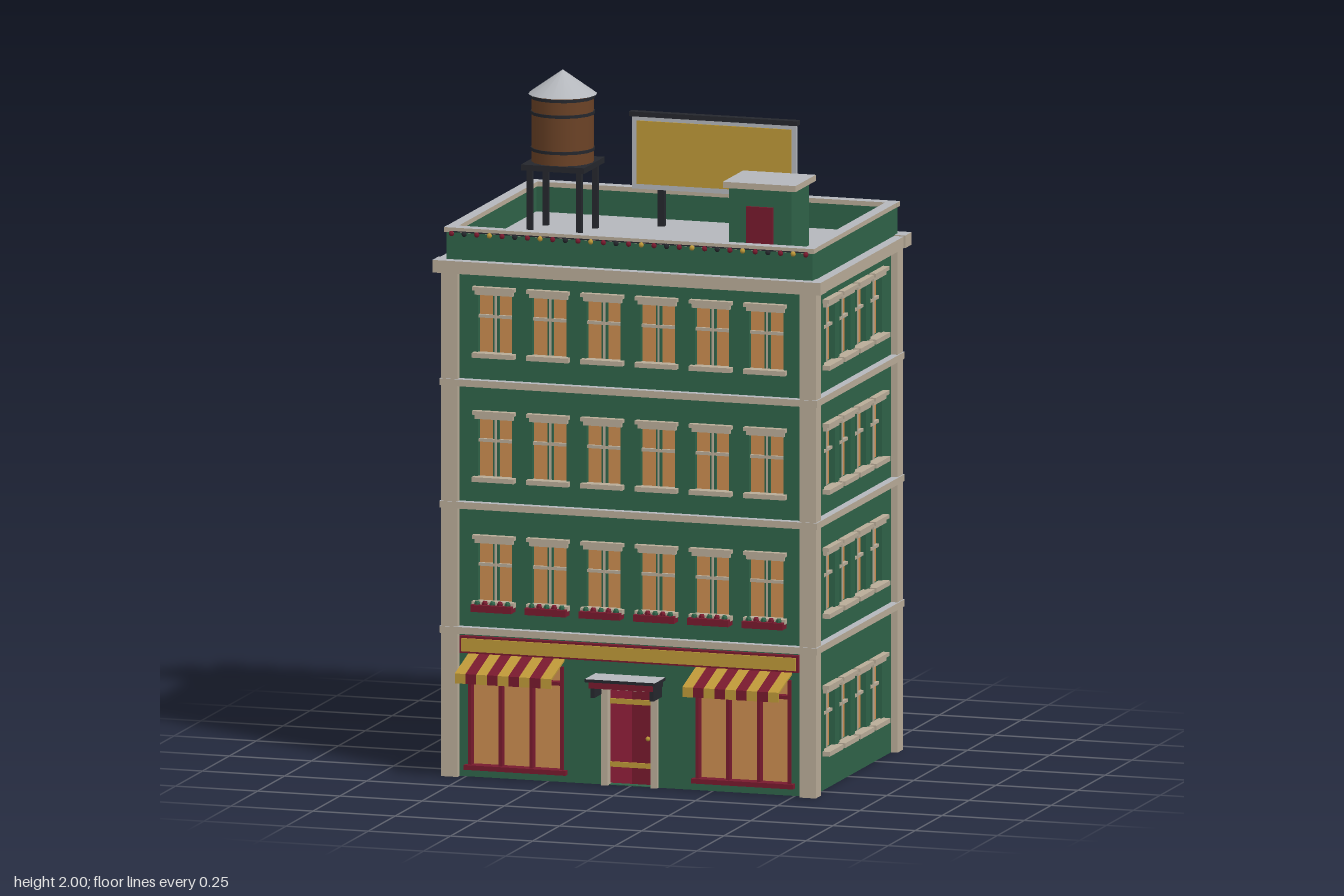
import * as THREE from 'three';

const mat = (name, color) => {
  const m = new THREE.MeshStandardMaterial({ color });
  m.name = name;
  return m;
};

export function createModel() {
  const green = mat('wall green', 0x2f6349);
  const cream = mat('stone cream', 0xb9ac98);
  const grey = mat('roof grey', 0xb4b7bc);
  const glass = mat('warm glass', 0xcb8d50);
  const red = mat('trim red', 0x781a2e);
  const crimson = mat('door crimson', 0x921f3a);
  const gold = mat('sign gold', 0xbd9838);
  const black = mat('iron black', 0x25272d);
  const brown = mat('barrel brown', 0x6b4226);

  const model = new THREE.Group();
  model.name = 'building';
  const group = (name, parent = model) => {
    const g = new THREE.Group();
    g.name = name;
    parent.add(g);
    return g;
  };
  const mesh = (parent, name, geo, m) => {
    const o = new THREE.Mesh(geo, m);
    o.name = name;
    parent.add(o);
    return o;
  };
  // Box given by its limits on each axis
  const box = (parent, name, m, x0, x1, y0, y1, z0, z1) => {
    const o = mesh(parent, name, new THREE.BoxGeometry(x1 - x0, y1 - y0, z1 - z0), m);
    o.position.set((x0 + x1) / 2, (y0 + y1) / 2, (z0 + z1) / 2);
    return o;
  };
  const capped = [cream, cream, grey, cream, cream, cream];

  const HX = 0.55, HZ = 0.385, ZC = -0.045, WALL_TOP = 1.5, T = 0.03;
  const floors = [0.203, 0.608, 0.973, 1.338];

  // Wall with real openings, outer face on z = 0
  function wall(parent, half, holes) {
    const s = new THREE.Shape([[-half, 0], [half, 0], [half, WALL_TOP], [-half, WALL_TOP]]
      .map(p => new THREE.Vector2(...p)));
    for (const [x0, x1, y0, y1] of holes) {
      s.holes.push(new THREE.Path([[x0, y0], [x0, y1], [x1, y1], [x1, y0]]
        .map(p => new THREE.Vector2(...p))));
    }
    const o = mesh(parent, 'wall', new THREE.ExtrudeGeometry(s, { depth: T, bevelEnabled: false }), green);
    o.position.z = -T;
  }

  // Sash window with stepped lintel, sill and crossed bars
  function sashWindow(parent, x, y) {
    const g = group('window', parent);
    g.position.set(x, y, 0);
    box(g, 'pane', glass, -0.052, 0.052, -0.09, 0.086, -0.026, -0.018);
    box(g, 'mullion', green, -0.009, 0.009, -0.09, 0.086, -0.018, -0.01);
    box(g, 'mullionBead', cream, -0.003, 0.003, -0.09, 0.086, -0.01, -0.007);
    box(g, 'crossBar', cream, -0.052, 0.052, 0.012, 0.021, -0.018, -0.008);
    box(g, 'lintel', cream, -0.058, 0.058, 0.082, 0.095, -0.01, 0.012);
    box(g, 'lintelCap', cream, -0.064, 0.064, 0.095, 0.106, -0.01, 0.02);
    box(g, 'sill', cream, -0.064, 0.064, -0.102, -0.088, -0.01, 0.022);
  }

  // Facade: wall, rows of windows and belt courses
  function facade(name, half, xs, rows, extraHoles = []) {
    const g = group(name);
    const spots = rows.flatMap(y => xs.map(x => [x, y]));
    wall(g, half, [...spots.map(([x, y]) => [x - 0.052, x + 0.052, y - 0.09, y + 0.086]), ...extraHoles]);
    spots.forEach(([x, y]) => sashWindow(g, x, y));
    for (const y of [0.422, 0.79, 1.15]) box(g, 'beltCourse', capped, -half - 0.023, half + 0.023, y, y + 0.02, -0.01, 0.024);
    return g;
  }
  const six = [-2.5, -1.5, -0.5, 0.5, 1.5, 2.5].map(i => i * 0.165);
  const four = [-1.5, -0.5, 0.5, 1.5].map(i => i * 0.145);
  const shopX = [-0.347, 0.345];
  const front = facade('frontFacade', HX, six, floors.slice(1), [
    ...shopX.map(x => [x - 0.14, x + 0.14, 0.035, 0.34]), [-0.07, 0.07, 0.002, 0.285]]);
  front.position.z = ZC + HZ;
  const back = facade('backFacade', HX, six, floors);
  back.position.z = ZC - HZ;
  back.rotation.y = Math.PI;
  for (const s of [-1, 1]) {
    const side = facade(s > 0 ? 'leftFacade' : 'rightFacade', HZ, four, floors);
    side.position.set(s * HX, 0, ZC);
    side.rotation.y = s * Math.PI / 2;
  }

  // Corner pilasters and cornice
  const trim = group('stoneTrim');
  for (const sx of [-1, 1]) {
    for (const sz of [-1, 1]) {
      const x = sx * 0.545, z = ZC + sz * 0.38;
      box(trim, 'cornerPilaster', cream, x - 0.025, x + 0.025, 0, 1.485, z - 0.025, z + 0.025);
    }
    box(trim, 'sideCornice', capped, sx * 0.5635 - 0.0235, sx * 0.5635 + 0.0235, 1.483, 1.518, ZC - 0.36, ZC + 0.36);
    const z = ZC + sx * 0.395;
    box(trim, 'cornice', capped, -0.59, 0.59, 1.483, 1.52, z - 0.029, z + 0.029);
  }

  // Roof deck and parapet
  const roof = group('roof');
  box(roof, 'deck', grey, -0.55, 0.55, 1.5, 1.525, ZC - 0.385, ZC + 0.385);
  for (const s of [-1, 1]) {
    const z = ZC + s * 0.3825, x = s * 0.5455;
    box(roof, 'parapet', green, -0.557, 0.557, 1.518, 1.6, z - 0.0125, z + 0.0125);
    box(roof, 'parapet', green, x - 0.0115, x + 0.0115, 1.518, 1.6, ZC - 0.37, ZC + 0.37);
    box(roof, 'coping', capped, -0.563, 0.563, 1.6, 1.614, z - 0.0175, z + 0.0175);
    box(roof, 'coping', capped, x - 0.0165, x + 0.0165, 1.6, 1.614, ZC - 0.365, ZC + 0.365);
  }

  // String of bulbs along the front parapet
  const lights = group('lightString');
  box(lights, 'wire', black, -0.545, 0.545, 1.601, 1.604, 0.354, 0.358);
  const bulb = new THREE.SphereGeometry(0.008, 8, 6);
  for (let i = 0; i < 29; i++) {
    mesh(lights, 'bulb', bulb, [red, black, red, gold][i % 4]).position.set(-0.539 + i * 0.0385, 1.597, 0.358);
  }

  // Flower boxes under the lowest front windows
  for (const x of six) {
    const g = group('flowerBox', front);
    g.position.set(x, 0.492, 0);
    box(g, 'trough', red, -0.062, 0.062, 0, 0.02, 0, 0.04);
    for (let i = -2; i <= 2; i++) {
      mesh(g, 'flower', new THREE.IcosahedronGeometry(0.01, 0), i % 2 ? red : green).position.set(i * 0.023, 0.023, 0.022);
    }
  }

  // Shop fronts with striped awnings (built on the front facade)
  for (const x of shopX) {
    const g = group('shopFront', front);
    g.position.x = x;
    box(g, 'shopGlass', glass, -0.14, 0.14, 0.035, 0.34, -0.026, -0.018);
    for (const b of [-0.14, -0.047, 0.047, 0.14]) box(g, 'windowPost', red, b - 0.005, b + 0.005, 0.03, 0.34, -0.018, 0.008);
    box(g, 'topRail', red, -0.145, 0.145, 0.284, 0.294, -0.018, 0.008);
    box(g, 'shopSill', red, -0.155, 0.155, 0.022, 0.036, -0.018, 0.018);
    const w = 0.293 / 9;
    for (let i = 0; i < 9; i++) {
      const profile = new THREE.Shape([[0, 0.362], [0.126, 0.325], [0.126, 0.296], [0.121, 0.296], [0.121, 0.321], [0, 0.356]]
        .map(p => new THREE.Vector2(...p)));
      const a = mesh(g, 'awningStripe', new THREE.ExtrudeGeometry(profile, { depth: w, bevelEnabled: false }), i % 2 ? red : gold);
      a.rotation.y = -Math.PI / 2;
      a.position.x = -0.1465 + (i + 1) * w;
    }
  }
  box(front, 'signBorder', red, -0.515, 0.515, 0.365, 0.415, 0, 0.016);
  box(front, 'signBoard', gold, -0.508, 0.508, 0.371, 0.409, 0.016, 0.022);

  // Entrance door and canopy
  const door = group('entrance', front);
  box(door, 'leftLeaf', crimson, -0.07, 0.0, 0.004, 0.285, -0.026, -0.014);
  box(door, 'rightLeaf', red, 0.0, 0.07, 0.004, 0.285, -0.026, -0.014);
  for (const y of [0.052, 0.238]) box(door, 'doorBar', gold, -0.066, 0.066, y, y + 0.015, -0.014, -0.009);
  mesh(door, 'knob', new THREE.SphereGeometry(0.007, 8, 6), gold).position.set(0.05, 0.14, -0.008);
  for (const s of [-1, 1]) {
    box(door, 'jamb', cream, s * 0.075 - 0.01, s * 0.075 + 0.01, 0, 0.285, -0.02, 0.015);
    box(door, 'canopyBracket', black, s * 0.09 - 0.006, s * 0.09 + 0.006, 0.268, 0.3, 0, 0.08);
  }
  box(door, 'doorHead', cream, -0.09, 0.09, 0.283, 0.3, -0.02, 0.018);
  box(door, 'canopyFascia', [black, black, red, red, red, red], -0.098, 0.098, 0.298, 0.317, 0, 0.092);
  box(door, 'canopyTop', [black, black, grey, black, black, black], -0.107, 0.107, 0.317, 0.326, 0, 0.1);

  // Water tower
  const tower = group('waterTower');
  tower.position.set(-0.365, 0, -0.145);
  for (const x of [-0.075, 0.075]) for (const z of [-0.075, 0.075]) {
    box(tower, 'leg', black, x - 0.008, x + 0.008, 1.52, 1.72, z - 0.008, z + 0.008);
  }
  box(tower, 'platform', black, -0.096, 0.096, 1.715, 1.732, -0.096, 0.096);
  const ring = (name, r0, r1, y0, y1, m) => {
    mesh(tower, name, new THREE.CylinderGeometry(r1, r0, y1 - y0, 16), m).position.y = (y0 + y1) / 2;
  };
  ring('barrel', 0.091, 0.091, 1.732, 1.93, brown);
  for (const y of [1.765, 1.872, 1.918]) ring('hoop', 0.094, 0.094, y, y + 0.009, black);
  ring('conicalRoof', 0.1, 0.001, 1.93, 2.0, grey);

  // Billboard
  const board = group('billboard');
  for (const x of [-0.118, 0.212]) box(board, 'post', black, x - 0.01, x + 0.01, 1.52, 1.84, -0.318, -0.3);
  box(board, 'panel', grey, -0.2, 0.298, 1.635, 1.85, -0.3, -0.286);
  box(board, 'poster', gold, -0.186, 0.284, 1.65, 1.836, -0.286, -0.282);
  box(board, 'topRail', black, -0.208, 0.304, 1.848, 1.862, -0.305, -0.28);

  // Stair house
  const stair = group('stairHouse');
  box(stair, 'hut', green, 0.265, 0.455, 1.52, 1.758, 0.073, 0.236);
  box(stair, 'hutRoof', capped, 0.25, 0.471, 1.757, 1.775, 0.058, 0.246);
  box(stair, 'hutDoor', red, 0.32, 0.4, 1.524, 1.706, 0.236, 0.244);

  // Rooftop air units
  for (const [x, z] of [[-0.206, 0.2], [-0.087, 0.183], [0.03, 0.2]]) {
    const g = group('airUnit');
    g.position.set(x, 1.525, z);
    box(g, 'casing', grey, -0.038, 0.038, 0, 0.055, -0.027, 0.027);
    box(g, 'grille', black, -0.02, 0.02, 0.012, 0.044, 0.027, 0.032);
  }
  return model;
}
